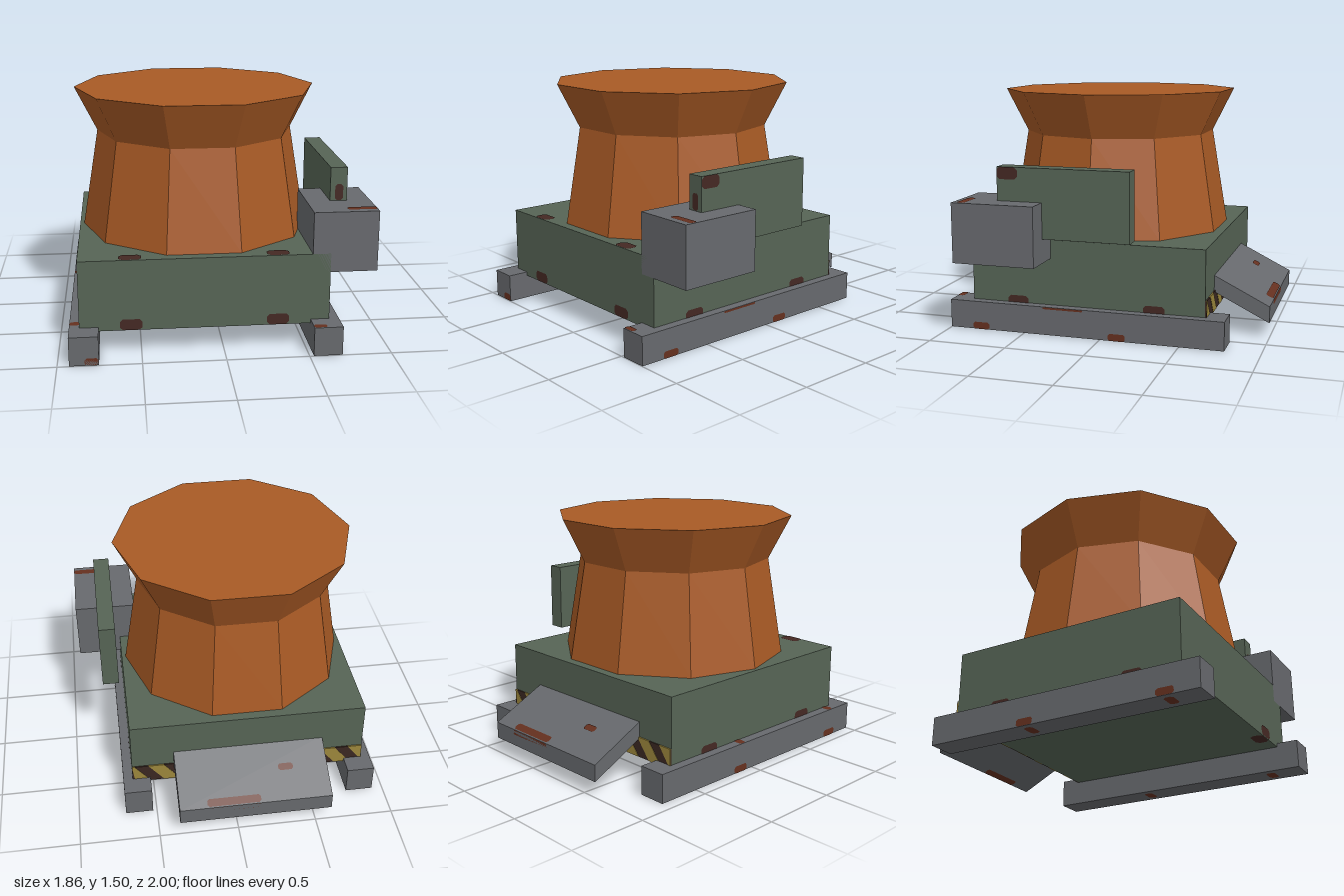
import * as THREE from 'three';

export function createModel() {
  const root = new THREE.Group();
  const paint = (name, color) => Object.assign(new THREE.MeshStandardMaterial({ color }), { name });
  const orange = paint('orange paint', 0xa85a25);
  const green = paint('olive green paint', 0x566455);
  const gray = paint('gray steel', 0x67696d);
  const rust = paint('red rust', 0x65301f);
  const darkRust = paint('dark rust', 0x442823);
  const yellow = paint('hazard yellow', 0x9c873c);
  const black = paint('hazard dark', 0x3a2822);

  const add = (name, geo, mat, parent = root) => {
    const m = new THREE.Mesh(geo, mat);
    m.name = name;
    parent.add(m);
    return m;
  };
  // Box from its minimum and maximum on each axis
  const box = (name, mat, x0, x1, y0, y1, z0, z1) => {
    const g = new THREE.BoxGeometry(x1 - x0, y1 - y0, z1 - z0);
    g.translate((x0 + x1) / 2, (y0 + y1) / 2, (z0 + z1) / 2);
    return add(name, g, mat);
  };

  // Skids, base, side box and panel
  box('rightSkid', gray, -0.93, -0.755, 0, 0.18, -0.78, 1);
  box('leftSkid', gray, 0.525, 0.7, 0, 0.18, -0.78, 1);
  box('base', green, -0.87, 0.64, 0.155, 0.597, -0.65, 0.865);
  box('controlBox', gray, 0.53, 0.925, 0.48, 0.855, 0.335, 0.865);
  box('sidePanel', green, 0.675, 0.78, 0.63, 1.065, -0.22, 0.625);

  // Ten-sided drum with a flared, closed top
  const profile = [[0.73, 0.595], [0.625, 1.22], [0.765, 1.5], [0, 1.5]].map(p => new THREE.Vector2(...p));
  const drumGeo = new THREE.LatheGeometry(profile, 10, Math.PI / 2).toNonIndexed();
  drumGeo.computeVertexNormals();
  add('drum', drumGeo, orange).position.set(-0.115, 0, 0.105);

  // Sloping ramp at the back: a sheared slab
  const rampSide = new THREE.Shape([[0.64, 0.38], [0.64, 0.275], [1, 0.095], [1, 0.2]].map(p => new THREE.Vector2(...p)));
  const rampGeo = new THREE.ExtrudeGeometry(rampSide, { depth: 0.97, bevelEnabled: false });
  rampGeo.rotateY(Math.PI / 2).translate(-0.6, 0, 0);
  add('ramp', rampGeo, gray);

  // Hazard strip along the lower back edge
  box('hazardStrip', black, -0.87, 0.64, 0.156, 0.28, -0.658, -0.65);
  const clampX = x => Math.min(0.64, Math.max(-0.87, x));
  for (let k = -1; k < 8; k++) {
    const x = -0.69 + k * 0.1875;
    const pts = [[x - 0.1, 0.156], [x, 0.156], [x + 0.1, 0.281], [x, 0.281]]
      .map(([a, b]) => new THREE.Vector2(clampX(a), b))
      .filter((p, i, all) => i === 0 || !p.equals(all[i - 1]));
    const g = new THREE.ExtrudeGeometry(new THREE.Shape(pts), { depth: 0.009, bevelEnabled: false });
    add('hazardStripe', g.translate(0, 0, -0.66), yellow);
  }

  // Thin rust patch with clipped corners, turned to face the given side
  const turns = {
    front: [0, 0], back: [0, Math.PI], left: [0, Math.PI / 2], right: [0, -Math.PI / 2],
    top: [-Math.PI / 2, 0], bottom: [Math.PI / 2, 0],
  };
  const patch = (mat, side, w, h, x, y, z) => {
    const a = w / 2, b = h / 2, c = Math.min(w, h) * 0.25;
    const s = new THREE.Shape([
      [-a + c, -b], [a - c, -b], [a, -b + c], [a, b - c],
      [a - c, b], [-a + c, b], [-a, b - c], [-a, -b + c],
    ].map(p => new THREE.Vector2(...p)));
    const m = add('rustPatch', new THREE.ShapeGeometry(s), mat);
    m.rotation.set(turns[side][0], turns[side][1], 0);
    m.position.set(x, y, z);
    return m;
  };

  // Rust on the base
  for (const x of [-0.56, 0.325]) {
    patch(darkRust, 'front', 0.135, 0.068, x, 0.191, 0.868);
    patch(darkRust, 'top', 0.135, 0.084, x, 0.6, 0.822);
    patch(darkRust, 'bottom', 0.135, 0.084, x, 0.152, 0.822);
  }
  patch(darkRust, 'bottom', 0.12, 0.09, -0.6, 0.152, 0.03);
  for (const z of [0.557, -0.332]) {
    patch(darkRust, 'left', 0.135, 0.068, 0.643, 0.191, z);
    patch(darkRust, 'right', 0.135, 0.068, -0.873, 0.191, z);
  }

  // Rust on the skids
  for (const z of [0.79, -0.11]) {
    patch(rust, 'left', 0.11, 0.045, 0.703, 0.023, z);
    patch(rust, 'right', 0.11, 0.045, -0.933, 0.023, z);
    for (const x of [-0.85, 0.61]) patch(rust, 'bottom', 0.1, 0.06, x, -0.002, z);
  }
  patch(rust, 'top', 0.06, 0.05, -0.899, 0.183, -0.087);
  patch(rust, 'top', 0.06, 0.05, -0.899, 0.183, 0.805);
  patch(rust, 'top', 0.08, 0.04, 0.565, 0.183, 0.978);
  patch(rust, 'front', 0.08, 0.045, -0.798, 0.023, 1.0);
  patch(rust, 'left', 0.26, 0.012, 0.703, 0.173, 0.24);

  // Rust on the control box, panel and ramp
  patch(rust, 'top', 0.18, 0.05, 0.833, 0.858, 0.805);
  patch(darkRust, 'left', 0.135, 0.075, 0.783, 1.027, 0.557);
  patch(darkRust, 'front', 0.05, 0.1, 0.73, 0.91, 0.628);
  const slope = Math.atan2(0.18, 0.36);
  patch(rust, 'top', 0.34, 0.05, 0.025, 0.217, -0.973).rotation.x -= slope;
  patch(rust, 'top', 0.095, 0.045, -0.33, 0.303, -0.805).rotation.x -= slope;
  patch(rust, 'back', 0.34, 0.03, 0.025, 0.182, -1.0);
  patch(rust, 'bottom', 0.32, 0.04, 0.025, 0.104, -0.976).rotation.x -= slope;

  return root;
}
